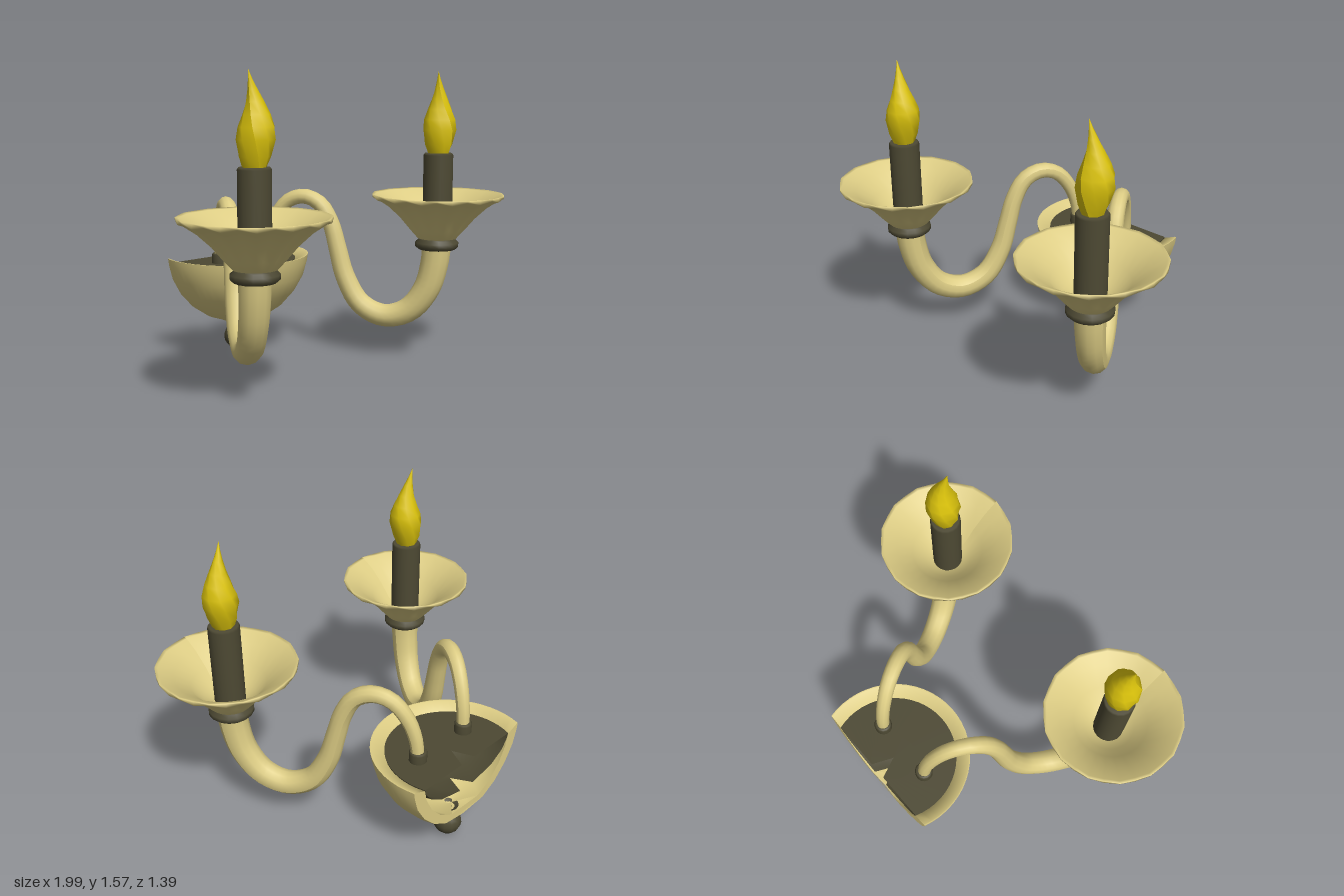
import * as THREE from 'three';

const mat = (color) => new THREE.MeshStandardMaterial({ color, side: THREE.DoubleSide });
const cream = mat(0xdccc84), dark = mat(0x4d4933), yellow = mat(0xdcc40c);
const CUT = 0.11; // distance from the bowl's axis to its flat wall side

function add(parent, name, geometry, material, x = 0, y = 0, z = 0) {
  const mesh = new THREE.Mesh(geometry, material);
  mesh.name = name;
  mesh.position.set(x, y, z);
  parent.add(mesh);
  return mesh;
}

const vectors = (profile) => profile.map(([r, y]) => new THREE.Vector2(r, y));
const lathe = (profile, sides) => new THREE.LatheGeometry(vectors(profile), sides);

// Turned shape whose sweep stops at the wall plane z = -CUT
function cutLathe(profile, sides) {
  const g = new THREE.LatheGeometry(vectors(profile), sides);
  const p = g.attributes.position, n = profile.length;
  for (let k = 0; k < p.count; k++) {
    const [r, y] = profile[k % n];
    const limit = r > CUT ? Math.PI - Math.acos(CUT / r) : Math.PI;
    const a = (Math.floor(k / n) / sides * 2 - 1) * limit;
    p.setXYZ(k, r * Math.sin(a), y, r * Math.cos(a));
  }
  g.computeVertexNormals();
  return g;
}

// Tube that widens along its path
function taperedTube(path, segments, sides, radiusAt) {
  const g = new THREE.TubeGeometry(path, segments, 1, sides);
  const p = g.attributes.position, v = new THREE.Vector3();
  for (let k = 0; k < p.count; k++) {
    const t = Math.floor(k / (sides + 1)) / segments;
    const c = path.getPointAt(t);
    v.fromBufferAttribute(p, k).sub(c).multiplyScalar(radiusAt(t)).add(c);
    p.setXYZ(k, v.x, v.y, v.z);
  }
  g.computeVertexNormals();
  return g;
}

// Drip cup with a gently scalloped outer side
function cupGeometry() {
  const profile = [[0.08, 0.68], [0.105, 0.685], [0.145, 0.735], [0.2, 0.8], [0.265, 0.86],
    [0.325, 0.9], [0.355, 0.908], [0.355, 0.925], [0.34, 0.92], [0.27, 0.88], [0.19, 0.81], [0.13, 0.74], [0.07, 0.71]];
  const sides = 28, n = profile.length, g = lathe(profile, sides), p = g.attributes.position;
  for (let k = 0; k < p.count; k++) {
    const i = Math.floor(k / n), j = k % n;
    const wave = Math.cos(i * Math.PI) * (j > 1 && j < 7 ? 0.007 : 0);
    const s = (j > 5 && j < 9 && i % 2) ? 0.985 : 1;
    p.setXYZ(k, p.getX(k) * s, p.getY(k) + wave, p.getZ(k) * s);
  }
  g.computeVertexNormals();
  return g;
}

// Twisted flame bulb with a curling tip
function flameGeometry() {
  const profile = [[0.055, 0], [0.074, 0.05], [0.09, 0.125], [0.084, 0.18], [0.064, 0.235],
    [0.042, 0.29], [0.023, 0.345], [0.01, 0.39], [0.001, 0.432]];
  const g = lathe(profile, 9), p = g.attributes.position;
  for (let k = 0; k < p.count; k++) {
    const x = p.getX(k), y = p.getY(k), z = p.getZ(k), t = y / 0.432;
    const c = Math.cos(t * 1.5), s = Math.sin(t * 1.5);
    const lean = 0.03 * Math.sin(t * 4.2) * t;
    p.setXYZ(k, x * c - z * s + lean, y, x * s + z * c);
  }
  g.computeVertexNormals();
  return g;
}

function addBowl(parent) {
  const bowl = new THREE.Group();
  bowl.name = 'wallBowl';
  bowl.position.z = -0.59;
  parent.add(bowl);

  const outer = [[0.02, 0.172], [0.1, 0.185], [0.18, 0.215], [0.26, 0.27], [0.33, 0.35],
    [0.38, 0.44], [0.402, 0.52], [0.408, 0.56]];
  const inner = [[0.4, 0.56], [0.335, 0.53], [0.32, 0.46], [0.28, 0.375], [0.22, 0.3], [0.15, 0.25], [0.02, 0.21]];
  add(bowl, 'bowlOuter', cutLathe(outer, 32), cream);
  add(bowl, 'bowlInner', cutLathe([outer.at(-1), ...inner], 32), cream);

  // Flat edge of the shell against the wall
  const section = [...outer, ...inner].filter(([r]) => r > CUT)
    .map(([r, y]) => new THREE.Vector2(Math.sqrt(r * r - CUT * CUT), y));
  const nOut = outer.filter(([r]) => r > CUT).length;
  const flip = (v) => new THREE.Vector2(-v.x, v.y);
  const o = section.slice(0, nOut), inn = section.slice(nOut);
  const edge = new THREE.Shape([...o, ...inn, ...[...inn].reverse().map(flip), ...[...o].reverse().map(flip)]);
  add(bowl, 'wallEdge', new THREE.ShapeGeometry(edge), cream, 0, 0, -CUT).rotation.y = Math.PI;

  // Metal top plate and the shallow pan beneath it
  add(bowl, 'topPlate', cutLathe([[0.001, 0.535], [0.12, 0.535], [0.335, 0.535]], 32), dark);
  add(bowl, 'pan', cutLathe([[0.001, 0.36], [0.12, 0.37], [0.22, 0.4], [0.29, 0.45], [0.325, 0.5], [0.335, 0.535]], 32), dark);

  // Ball finial under the bowl
  add(bowl, 'finialBall', new THREE.SphereGeometry(0.075, 12, 10), dark, 0, 0.08, 0);
  add(bowl, 'finialNeck', lathe([[0.036, 0.138], [0.04, 0.15], [0.025, 0.16], [0.03, 0.172], [0.055, 0.185]], 12), dark);
}

export function createModel() {
  const model = new THREE.Group();
  model.name = 'wallSconce';
  addBowl(model);

  // Side profile of the S-shaped arm, as z and y
  const armLine = [[-0.52, 0.54], [-0.507, 0.66], [-0.465, 0.78], [-0.4, 0.862], [-0.32, 0.885], [-0.24, 0.845],
    [-0.185, 0.74], [-0.15, 0.6], [-0.11, 0.44], [-0.03, 0.29], [0.09, 0.232], [0.21, 0.275],
    [0.295, 0.4], [0.33, 0.54], [0.34, 0.65]];
  const cup = cupGeometry(), flame = flameGeometry();

  for (const side of [1, -1]) {
    const arm = new THREE.Group();
    arm.name = side > 0 ? 'leftArm' : 'rightArm';
    model.add(arm);

    const path = new THREE.CatmullRomCurve3(armLine.map(([z, y]) =>
      new THREE.Vector3(side * (0.17 + 0.475 * (z + 0.52) / 0.86), y, z)));
    add(arm, 'curvedTube', taperedTube(path, 48, 12, (t) => 0.033 + 0.046 * Math.pow(t, 1.1)), cream);
    add(arm, 'tubeSocket', lathe([[0.046, 0.53], [0.046, 0.582], [0.04, 0.59], [0.03, 0.59]], 14), dark, side * 0.17, 0, -0.52);

    // Light fitting on the arm's end
    const light = new THREE.Group();
    light.name = 'candleLight';
    light.position.set(side * 0.645, 0, 0.34);
    arm.add(light);
    add(light, 'collar', lathe([[0.07, 0.622], [0.1, 0.625], [0.117, 0.64], [0.117, 0.662],
      [0.1, 0.677], [0.1, 0.69], [0.06, 0.695]], 16), dark);
    add(light, 'dripCup', cup, cream);
    add(light, 'candleTube', lathe([[0.079, 0.68], [0.079, 1.135], [0.072, 1.145], [0.001, 1.145]], 18), dark);
    add(light, 'flameBulb', flame, yellow, 0, 1.143, 0).rotation.y = side > 0 ? 0.4 : -0.3;
  }
  return model;
}
